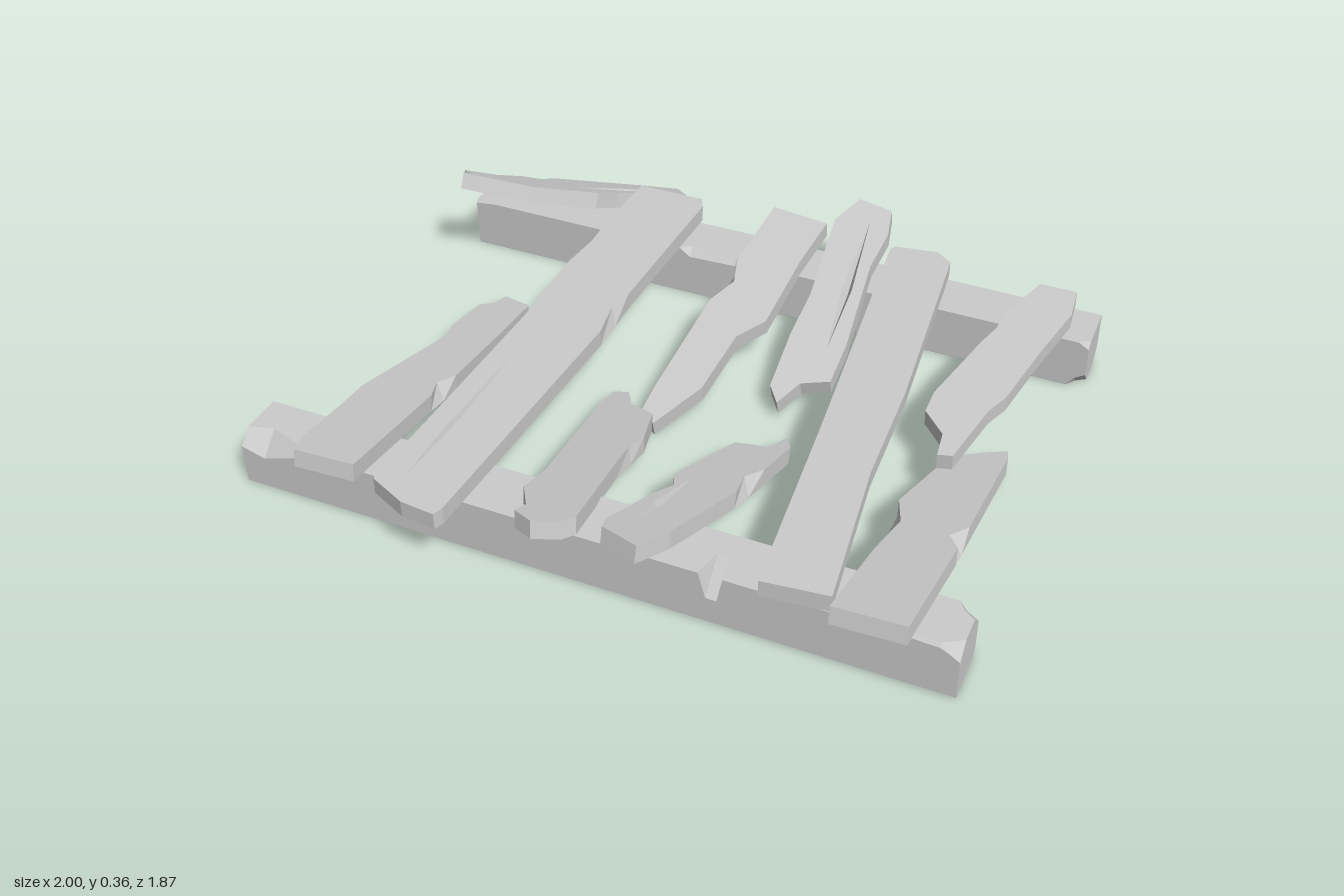
import * as THREE from 'three';

const material = new THREE.MeshStandardMaterial({ color: 0xcccccc, flatShading: true });

function meshFrom(triangles, name) {
  const geometry = new THREE.BufferGeometry().setFromPoints(triangles);
  geometry.computeVertexNormals();
  const mesh = new THREE.Mesh(geometry, material);
  mesh.name = name;
  return mesh;
}

// Push a triangle so that its normal points up (sign 1) or down (sign -1).
function pushFacing(out, a, b, c, sign) {
  const ny = b.clone().sub(a).cross(c.clone().sub(a)).y;
  if (ny * sign >= 0) out.push(a, b, c);
  else out.push(a, c, b);
}

// A broken plank: outline points [x, z, chipped?] seen from above, with its top on a tilted plane.
// Top height y0 at (x0, z0) plus slopes in x and z. A chipped point is cut in at the top only.
function plank(name, outline, { x0 = 0, z0 = 0, y0, sx = 0, sz = 0, crack, thick = 0.05 }) {
  const height = (x, z) => y0 + sx * (x - x0) + sz * (z - z0);
  const down = new THREE.Vector3(-sx, 1, -sz).normalize().multiplyScalar(-thick);
  const lift = (p) => new THREE.Vector3(p.x, height(p.x, -p.y), -p.y);
  const flat = (p) => new THREE.Vector2(p[0], -p[1]);

  const n = outline.length;
  let top = outline.map(flat);
  let low = outline.map((p, i) => p[2]
    ? flat(outline[(i + n - 1) % n]).add(flat(outline[(i + 1) % n])).multiplyScalar(0.5)
    : flat(p));
  if (THREE.ShapeUtils.isClockWise(top)) { top = top.reverse(); low = low.reverse(); }

  // Crack: a narrow lens in the top face, sinking to a point
  const lens = [];
  if (crack) {
    const [ax, az, bx, bz, w] = crack;
    const a = flat([ax, az]), b = flat([bx, bz]);
    const side = b.clone().sub(a).normalize().rotateAround(new THREE.Vector2(), Math.PI / 2).multiplyScalar(w);
    const mid = a.clone().lerp(b, 0.55);
    lens.push(a, mid.clone().add(side), b, mid.clone().sub(side));
  }

  const out = [];
  const upper = [...top, ...lens].map(lift);
  const lower = low.map((p) => lift(p).add(down));
  for (const [a, b, c] of THREE.ShapeUtils.triangulateShape(top, lens.length ? [lens] : []))
    pushFacing(out, upper[a], upper[b], upper[c], 1);
  for (const [a, b, c] of THREE.ShapeUtils.triangulateShape(low, []))
    pushFacing(out, lower[a], lower[b], lower[c], -1);
  for (let i = 0; i < n; i++) {
    const j = (i + 1) % n;
    out.push(lower[i], lower[j], upper[j], lower[i], upper[j], upper[i]);
  }
  if (lens.length) {
    const rim = lens.map(lift);
    const pit = rim[0].clone().lerp(rim[2], 0.55).addScaledVector(down, 0.6);
    rim.forEach((p, i) => pushFacing(out, p, rim[(i + 1) % 4], pit, 1));
  }
  return meshFrom(out, name);
}

// A squared beam along x: sections [x, chamfers at top front, top back, bottom back, bottom front].
function beam(name) {
  const H = 0.08, e = 0.002;
  const sections = [
    [-1, 0.04, e, 0.01, e], [-0.93, 0.06, e, e, e], [-0.84, 0.03, e, e, e], [-0.77, e, e, e, e],
    [-0.28, e, e, e, e], [-0.25, e, e, 0.025, e], [-0.1, e, e, 0.02, e], [-0.07, e, e, e, e],
    [0.335, e, e, e, e], [0.355, 0.08, e, e, e], [0.385, 0.08, e, e, e], [0.4, e, e, e, e],
    [0.8, e, e, e, e], [0.95, 0.01, e, e, e], [0.97, 0.02, 0.03, e, e], [1, 0.04, 0.05, 0.02, e],
  ];
  const loops = sections.map(([x, tf, tb, bb, bf]) => [
    [H, H - tf], [H - tf, H], [-H + bf, H], [-H, H - bf],
    [-H, -H + bb], [-H + bb, -H], [H - tb, -H], [H, -H + tb],
  ].map(([y, z]) => new THREE.Vector3(x, y, z)));
  return meshFrom(skin(loops), name);
}

// Join cross-section loops and cap both ends.
function skin(loops) {
  const out = [], n = loops[0].length;
  for (let s = 0; s + 1 < loops.length; s++) {
    const a = loops[s], b = loops[s + 1];
    for (let i = 0; i < n; i++) {
      const j = (i + 1) % n;
      out.push(a[i], a[j], b[j], a[i], b[j], b[i]);
    }
  }
  const first = loops[0], last = loops[loops.length - 1];
  for (let i = 1; i + 1 < n; i++) {
    out.push(first[0], first[i + 1], first[i], last[0], last[i], last[i + 1]);
  }
  return out;
}

export function createModel() {
  const group = new THREE.Group();

  // Two beams, the back one being the front one rolled over
  const frontBeam = beam('frontBeam');
  frontBeam.position.set(0, 0.083, 0.73);
  const backBeam = beam('backBeam');
  backBeam.position.set(0, 0.083, -0.567);
  backBeam.rotation.x = Math.PI;
  group.add(frontBeam, backBeam);

  group.add(
    // Whole planks lying flat across both beams
    plank('leftLongPlank', [[-.51, -.7], [-.3, -.7], [-.28, -.66], [-.29, -.13], [-.305, -.05, 1], [-.285, .07], [-.32, .9],
      [-.33, .93], [-.43, .92], [-.54, .87], [-.52, .08], [-.53, -.2], [-.515, -.35, 1], [-.52, -.5]],
    { y0: 0.215, crack: [-.46, .27, -.47, .84, .01] }),
    plank('rightLongPlank', [[.35, -.68], [.48, -.7], [.53, -.66], [.6, 0], [.62, .35], [.68, .81], [.5, .83], [.44, .24], [.34, -.66]],
      { y0: 0.215 }),

    // Loose plank tipped over the back beam
    plank('loosePlank', [[-.49, -.94], [-.42, -.86], [-.48, -.79], [-.56, -.63], [-.59, -.55], [-.73, -.39], [-.8, -.37],
      [-.9, -.34], [-.94, -.33], [-.93, -.35], [-.96, -.37], [-.88, -.42], [-.83, -.5], [-.78, -.53, 1], [-.77, -.59], [-.58, -.84]],
    { x0: -0.95, z0: -0.32, y0: 0.37, sx: -0.04, sz: 0.45, crack: [-.48, -.86, -.66, -.55, .014] }),

    // Snapped planks leaning from the front beam down to the ground
    plank('frontPlankLeft', [[-.73, -.17], [-.64, -.15], [-.62, .08], [-.6, .35], [-.625, .41, 1], [-.6, .48], [-.58, .89], [-.75, .9],
      [-.77, .83], [-.78, .64], [-.79, .53], [-.76, .24], [-.75, .15, 1], [-.77, .08], [-.77, -.08], [-.74, -.11]],
    { z0: 0.9, y0: 0.264, sz: 0.19 }),
    plank('frontPlankMiddleLeft', [[-.18, .11], [-.14, .18], [-.06, .21], [-.02, .35], [-.03, .42, 1], [-.02, .52], [.02, .83], [0, .87],
      [-.07, .9], [-.13, .87], [-.12, .83], [-.17, .75], [-.165, .64, 1], [-.18, .53], [-.22, .21], [-.22, .13]],
    { x0: -0.07, z0: 0.9, y0: 0.262, sx: 0.06, sz: 0.25 }),
    plank('frontPlankMiddleRight', [[.31, .13], [.34, .18], [.33, .35], [.3, .42, 1], [.315, .51], [.26, .8], [.22, .91], [.11, .87],
      [.1, .83], [.14, .64], [.165, .57, 1], [.14, .51], [.18, .32], [.2, .24], [.29, .21]],
    { z0: 0.91, y0: 0.295, sz: 0.3, crack: [.19, .5, .16, .83, .012] }),
    plank('frontPlankRight', [[.89, -.04], [.9, 0], [.9, .4], [.865, .46, 1], [.9, .51], [.89, .89], [.7, .89], [.715, .61],
      [.735, .45, 1], [.7, .35], [.74, .14], [.77, .05], [.83, 0]],
    { x0: 0.8, z0: 0.88, y0: 0.268, sx: 0.04, sz: 0.215 }),

    // Snapped planks leaning from the back beam
    plank('backPlankMiddleLeft', [[-.05, -.69], [.13, -.67], [.11, -.5], [.1, -.24], [.04, -.16], [.02, .05], [-.06, .21], [-.11, .18],
      [-.11, .08], [-.09, -.27], [-.05, -.36, 1], [-.075, -.45]],
    { z0: -0.7, y0: 0.255, sz: -0.22 }),
    plank('backPlankMiddleRight', [[.2, -.77], [.31, -.75], [.33, -.66], [.32, -.53], [.35, -.24], [.35, -.11], [.27, -.08], [.23, 0],
      [.19, -.05], [.18, -.24], [.185, -.38, 1], [.17, -.53], [.155, -.67]],
    { z0: -0.78, y0: 0.3, sz: -0.3, crack: [.26, -.7, .3, -.21, .015] }),
    plank('backPlankRight', [[.81, -.635], [.92, -.635], [.93, -.53], [.89, -.35], [.85, -.13], [.82, -.06], [.78, .14], [.74, .15],
      [.73, .07], [.66, 0], [.66, -.08], [.72, -.32], [.745, -.4, 1], [.75, -.47]],
    { z0: -0.64, y0: 0.23, sz: -0.09 }),
  );
  return group;
}
